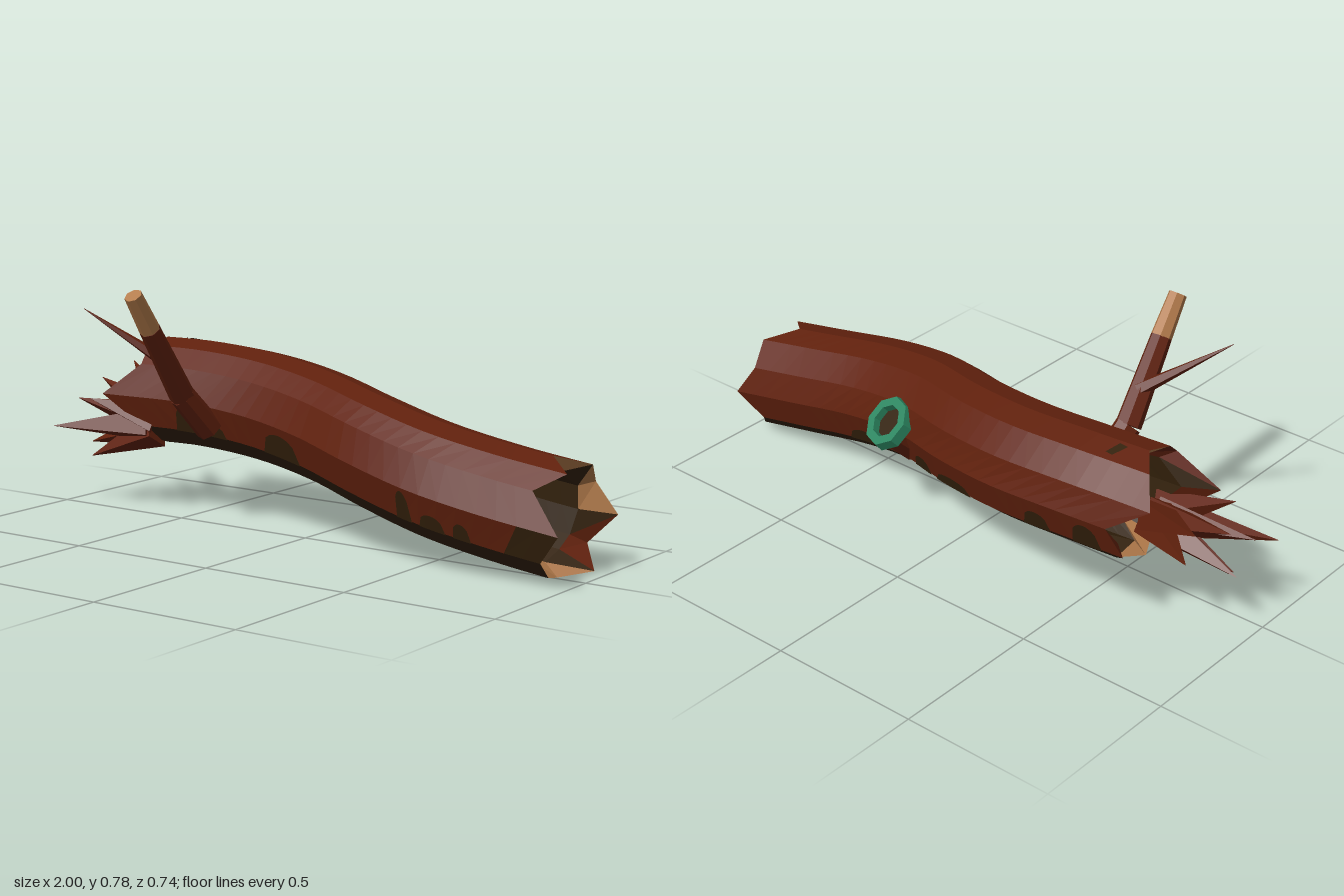
import * as THREE from 'three';

const V = (x, y, z) => new THREE.Vector3(x, y, z);
const UP = V(0, 1, 0);

function material(name, color, extra = {}) {
  return new THREE.MeshStandardMaterial({ name, color, flatShading: true, ...extra });
}

// Centre line of the log, evenly spaced in x from -1 to 1
const spine = new THREE.CatmullRomCurve3([
  V(-1, 0.39, -0.15), V(-0.75, 0.39, -0.165), V(-0.5, 0.388, -0.184),
  V(-0.25, 0.37, -0.178), V(0, 0.34, -0.125), V(0.25, 0.3, -0.038),
  V(0.5, 0.25, 0.006), V(0.75, 0.205, 0), V(1, 0.168, -0.02),
], false, 'catmullrom', 0.5);

// Corners of the cross-section (0 = front, 90 = up) and the jagged end at each corner
const ANGLES = [-34, 0, 36, 63, 90, 117, 150, 180, 214, 242, 270, 298];
const LEFT = [-0.68, -0.81, -0.68, -0.7, -0.69, -0.75, -0.81, -0.68, -0.72, -0.65, -0.69, -0.65];
const RIGHT = [0.93, 1.0, 0.9, 0.97, 0.88, 0.96, 0.93, 0.99, 0.91, 0.97, 0.9, 0.92];
const N = ANGLES.length;
const FIRST_DARK = 8;

function corner(x, j, scale) {
  const c = spine.getPoint((x + 1) / 2);
  const a = THREE.MathUtils.degToRad(ANGLES[j % N]);
  return V(x, c.y + Math.sin(a) * 0.178 * scale, c.z + Math.cos(a) * 0.187 * scale);
}

// Point on the faceted log at a fractional corner number
function onLog(x, k, scale = 1) {
  const j = Math.floor(k);
  return corner(x, j, scale).lerp(corner(x, j + 1, scale), k - j);
}

// Flat faces from triangles and quads
function facesToGeometry(faces) {
  const pts = [];
  for (const f of faces) {
    for (let i = 2; i < f.length; i++) pts.push(f[0], f[i - 1], f[i]);
  }
  const g = new THREE.BufferGeometry().setFromPoints(pts);
  g.computeVertexNormals();
  return g;
}

export function createModel() {
  const bark = material('red brown bark', 0x61210d);
  const moss = material('dark brown', 0x33210b, { side: THREE.DoubleSide });
  const wood = material('tan cut wood', 0xb37b4b);
  const green = material('green', 0x2b8560);
  const model = new THREE.Group();
  model.name = 'hollowLog';

  const add = (name, geometry, mat, parent = model) => {
    const mesh = new THREE.Mesh(geometry, mat);
    mesh.name = name;
    parent.add(mesh);
    return mesh;
  };

  // Tapered rod from a to b
  const rod = (name, a, b, ra, rb, sides, mat) => {
    const dir = b.clone().sub(a);
    const mesh = add(name, new THREE.CylinderGeometry(rb, ra, dir.length(), sides), mat);
    mesh.position.copy(a).add(b).multiplyScalar(0.5);
    mesh.quaternion.setFromUnitVectors(UP, dir.normalize());
  };

  // Log shell: bark above, dark underside, dark hollow and splintered rims
  const STEPS = 28;
  const PALE = [3, 4, 5, 6, 9, 10, 11];
  const upper = [], under = [], hollow = [], paleRim = [], barkRim = [];
  const outer = (t, j) => corner(THREE.MathUtils.lerp(LEFT[j % N], RIGHT[j % N], t), j, 1);
  const inner = (t, j) => {
    const inset = j % 2 ? 0.1 : 0.04;
    const x = THREE.MathUtils.lerp(LEFT[j % N] + inset, RIGHT[j % N] - inset, t);
    return corner(x, j, j % 2 ? 0.72 : 0.8);
  };
  for (let j = 0; j < N; j++) {
    for (let i = 0; i < STEPS; i++) {
      const t = i / STEPS, u = (i + 1) / STEPS;
      const face = [outer(t, j), outer(u, j), outer(u, j + 1), outer(t, j + 1)];
      if (j === 0 && i >= STEPS - 2) {
        // The underside colour climbs the front tooth of the right end
        under.push(face);
      } else {
        (j >= FIRST_DARK ? under : upper).push(face);
      }
      hollow.push([inner(t, j), inner(t, j + 1), inner(u, j + 1), inner(u, j)]);
    }
    const outerRim = PALE.includes(j) ? paleRim : barkRim;
    const innerRim = j % 2 ? hollow : outerRim;
    outerRim.push([outer(1, j), inner(1, j + 1), outer(1, j + 1)]);
    innerRim.push([outer(1, j), inner(1, j), inner(1, j + 1)]);
    outerRim.push([outer(0, j), outer(0, j + 1), inner(0, j + 1)]);
    innerRim.push([outer(0, j), inner(0, j + 1), inner(0, j)]);
  }
  add('logBark', facesToGeometry(upper), bark);
  add('logUnderside', facesToGeometry(under), moss);
  add('logHollow', facesToGeometry(hollow), moss);
  add('splitRimWood', facesToGeometry(paleRim), wood);
  add('splitRimBark', facesToGeometry(barkRim), bark);

  // Dark patches creeping up both sides: centre x, half width, height, back side
  const patches = [
    [-0.49, 0.045, 0.85], [-0.08, 0.085, 0.75], [-0.38, 0.05, 0.4], [0.48, 0.028, 0.9],
    [0.58, 0.045, 0.45], [0.68, 0.03, 0.5],
    [-0.6, 0.05, 0.8, true], [-0.42, 0.05, 0.6, true], [-0.05, 0.09, 0.4, true],
    [0.12, 0.05, 0.5, true], [0.45, 0.07, 0.45, true],
  ];
  for (const [cx, w, h, back] of patches) {
    const quads = [], n = 8;
    const at = (i, top) => {
      const s = (i / n) * 2 - 1;
      const rise = top * h * Math.pow(1 - s * s, 0.4);
      return onLog(cx + s * w, back ? FIRST_DARK - rise : rise, 1.015);
    };
    for (let i = 0; i < n; i++) {
      const q = [at(i, 0), at(i + 1, 0), at(i + 1, 1), at(i, 1)];
      quads.push(back ? q.reverse() : q);
    }
    add('darkPatch', facesToGeometry(quads), moss);
  }

  // Small patch on top near the broken end
  const spot = [[-0.63, 4.2], [-0.6, 4.15], [-0.585, 4.7], [-0.61, 4.75]];
  add('darkSpot', facesToGeometry([spot.map(([x, k]) => onLog(x, k, 1.015))]), moss);

  // Branch with a pale sawn tip and a side twig
  const elbow = V(-0.413, 0.43, 0.097), cut = V(-0.4, 0.66, 0.268), tip = V(-0.398, 0.774, 0.348);
  rod('branchBase', V(-0.388, 0.31, -0.01), elbow, 0.046, 0.042, 7, bark);
  rod('branch', elbow, cut, 0.042, 0.034, 7, bark);
  rod('branchTip', cut, tip, 0.034, 0.029, 7, wood);
  rod('twig', V(-0.41, 0.53, 0.15), V(-0.65, 0.71, 0.29), 0.024, 0.001, 5, bark);

  // Splintered roots fanning out of the left end
  const core = V(-0.62, 0.29, -0.08);
  const rootTips = [
    [-0.95, 0.45, -0.3], [-0.98, 0.405, -0.17], [-1.0, 0.345, -0.07], [-0.99, 0.27, 0.07],
    [-0.95, 0.2, -0.08], [-0.9, 0.165, -0.02], [-0.86, 0.27, -0.21], [-0.86, 0.37, 0.03],
  ];
  for (const p of rootTips) {
    const end = V(...p);
    rod('root', core.clone().lerp(end, 0.15), end, 0.064, 0.001, 4, bark);
  }

  // Stub of a lost branch, ringed in green
  const knot = new THREE.Group();
  knot.name = 'knot';
  knot.position.set(0.257, 0.338, -0.244);
  knot.quaternion.setFromUnitVectors(UP, V(0.22, 0.68, -0.7).normalize());
  model.add(knot);
  const stub = add('knotStub', new THREE.CylinderGeometry(0.066, 0.07, 0.13, 8, 1, true), bark, knot);
  stub.position.y = -0.07;
  const ring = [[0.088, -0.016], [0.083, 0.018], [0.054, 0.018], [0.05, -0.016], [0.088, -0.016]];
  add('knotRing', new THREE.LatheGeometry(ring.map(([r, y]) => new THREE.Vector2(r, y)), 8), green, knot);
  const hole = add('knotHole', new THREE.CircleGeometry(0.062, 8), moss, knot);
  hole.rotation.x = -Math.PI / 2;
  hole.position.y = -0.006;

  return model;
}
